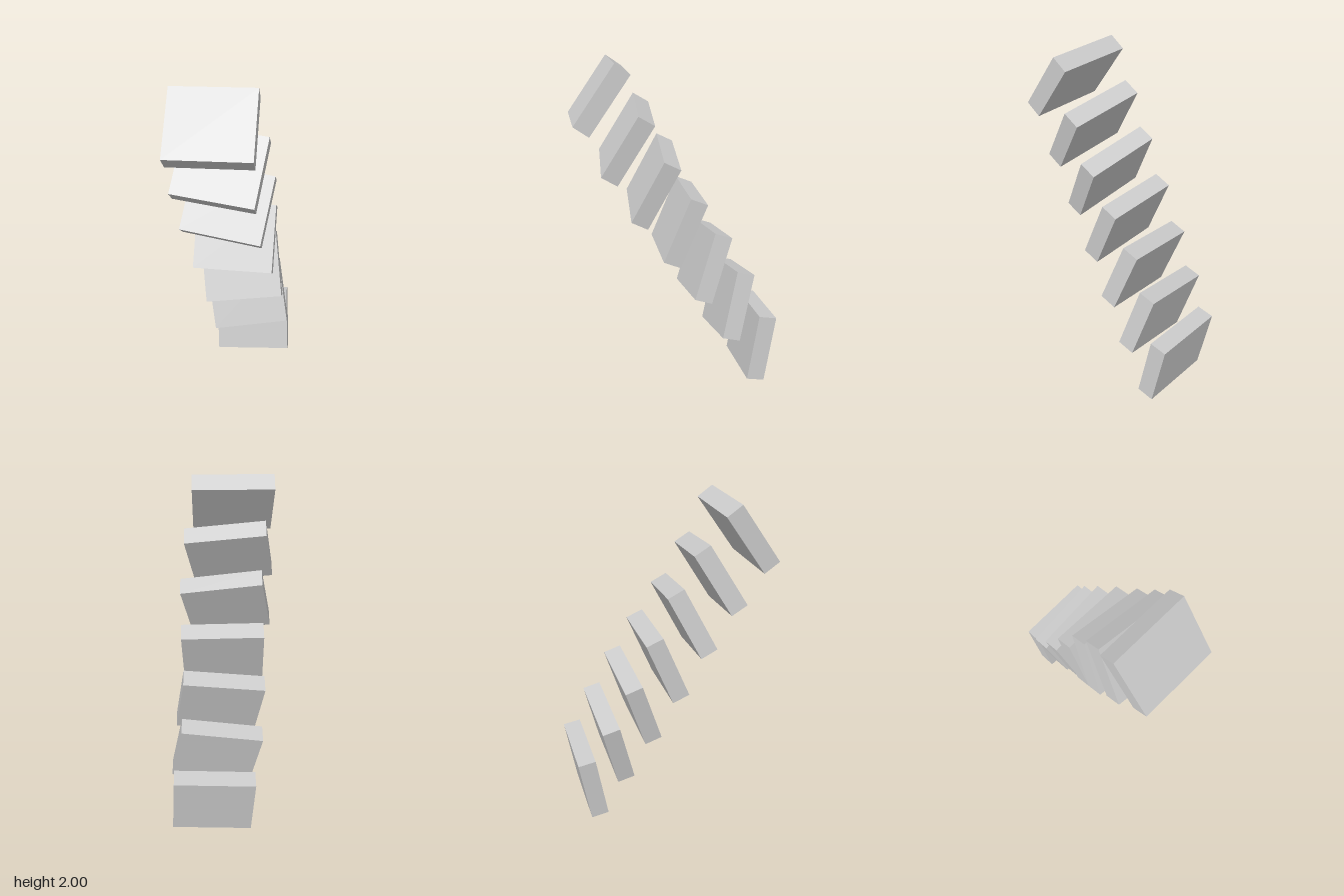
import * as THREE from 'three';

// A leaning flight of seven identical slabs, each tilted further back and twisted in its own plane.
export function createModel() {
  const model = new THREE.Group();
  model.name = 'slabStack';

  const grey = new THREE.MeshStandardMaterial({ color: 0xcccccc });
  grey.name = 'light grey';

  const slabGeometry = new THREE.BoxGeometry(0.49, 0.42, 0.11);
  const first = new THREE.Vector3(0.066, 0.228, -0.505);
  const last = new THREE.Vector3(-0.07, 1.797, 0.435);
  const twists = [2.8, 9.7, 7.4, -1.2, -9.2, -8.2, 0]; // degrees, bottom to top

  twists.forEach((twist, i) => {
    const t = i / (twists.length - 1);
    const slab = new THREE.Mesh(slabGeometry, grey);
    slab.name = `slab${i + 1}`;
    slab.position.lerpVectors(first, last, t);
    // backward tilt grows evenly up the flight; twist is about the slab's own normal
    slab.rotation.set(
      -THREE.MathUtils.degToRad(THREE.MathUtils.lerp(10, 35, t)),
      0,
      THREE.MathUtils.degToRad(twist)
    );
    model.add(slab);
  });

  return model;
}
